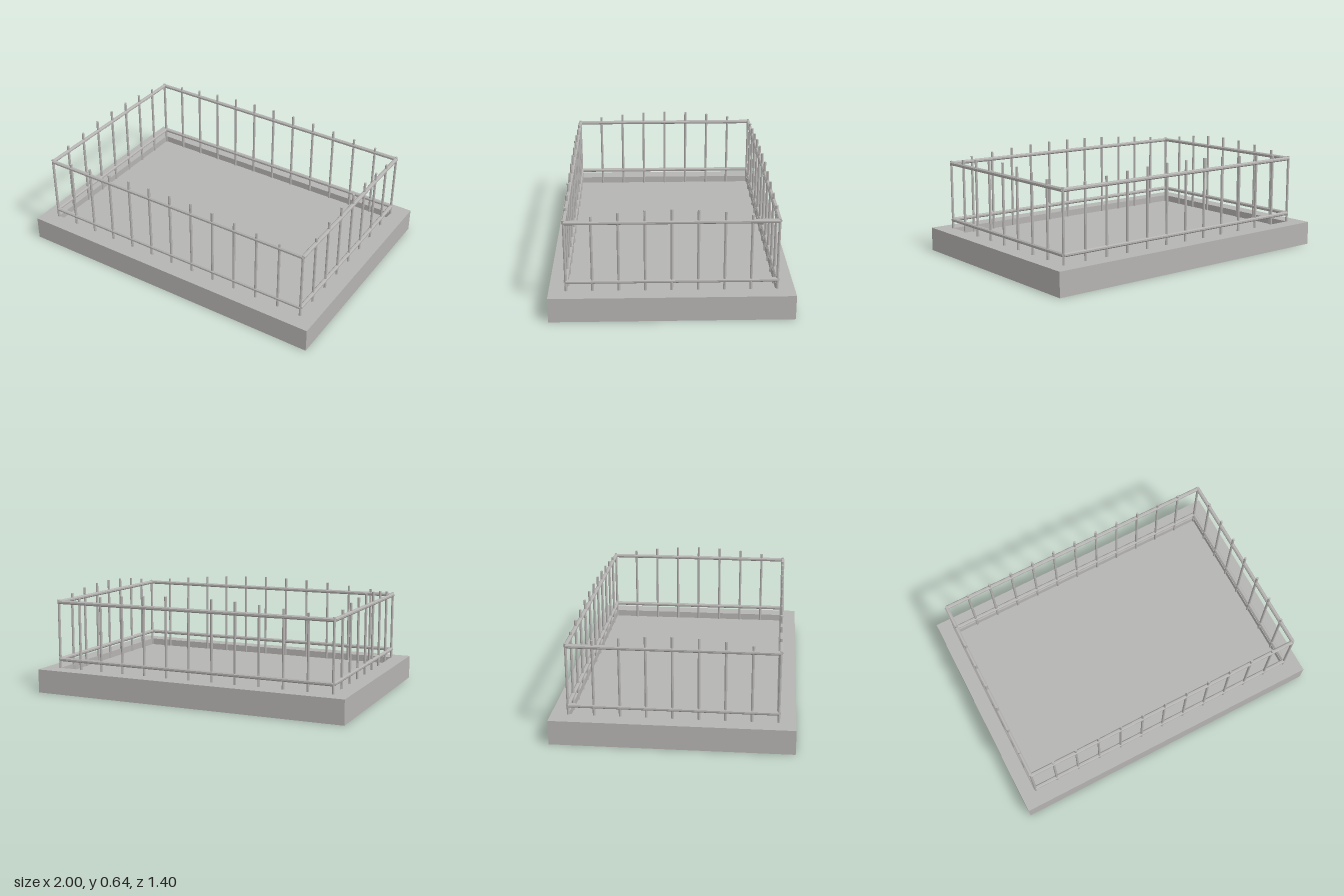
import * as THREE from 'three';

const HALF_X = 0.9, HALF_Z = 0.6;   // fence line and inner edge of the kerb
const KERB_H = 0.147, KERB_W = 0.1;
const FLOOR_Y = 0.105, POST_FOOT = 0.08;

// Box without its underside, standing on y = 0
function openBox(w, h, d) {
  const box = new THREE.BoxGeometry(w, h, d).translate(0, h / 2, 0);
  const index = Array.from(box.index.array);
  index.splice(18, 6);              // the -y face
  box.setIndex(index);
  box.clearGroups();
  return box;
}

export function createModel() {
  const model = new THREE.Group();
  model.name = 'fencedPlot';

  const stone = new THREE.MeshStandardMaterial({ color: 0xb5b4b2, side: THREE.DoubleSide });
  stone.name = 'grey stone';
  stone.flatShading = true;

  const add = (parent, name, geometry, x, y, z) => {
    const mesh = new THREE.Mesh(geometry, stone);
    mesh.name = name;
    mesh.position.set(x, y, z);
    parent.add(mesh);
    return mesh;
  };

  // Hollow kerb around a sunken floor
  const base = new THREE.Group();
  base.name = 'base';
  model.add(base);
  const longKerb = openBox(2, KERB_H, KERB_W);
  const shortKerb = openBox(KERB_W, KERB_H, HALF_Z * 2);
  for (const s of [-1, 1]) {
    add(base, s > 0 ? 'frontKerb' : 'backKerb', longKerb, 0, 0, s * (HALF_Z + KERB_W / 2));
    add(base, s > 0 ? 'leftKerb' : 'rightKerb', shortKerb, s * (HALF_X + KERB_W / 2), 0, 0);
  }
  const floor = new THREE.PlaneGeometry(HALF_X * 2, HALF_Z * 2).rotateX(-Math.PI / 2);
  add(base, 'floor', floor, 0, FLOOR_Y, 0);

  // Fence rails
  const fence = new THREE.Group();
  fence.name = 'fence';
  model.add(fence);
  const longRail = new THREE.CylinderGeometry(0.0125, 0.0125, HALF_X * 2, 8)
    .rotateY(Math.PI / 8).rotateZ(Math.PI / 2);
  const shortRail = new THREE.CylinderGeometry(0.0125, 0.0125, HALF_Z * 2, 8)
    .rotateY(Math.PI / 8).rotateX(Math.PI / 2);
  for (const [name, y] of [['lowerRail', 0.203], ['upperRail', 0.565]]) {
    for (const s of [-1, 1]) {
      add(fence, name, longRail, 0, y, s * HALF_Z);
      add(fence, name, shortRail, s * HALF_X, y, 0);
    }
  }

  // Posts rise in a gentle arc towards the middle of each side
  const addPost = (x, z, t) => {
    const top = 0.58 + 0.061 * Math.cos(t * Math.PI / 2);
    const h = top - POST_FOOT;
    add(fence, 'post', new THREE.CylinderGeometry(0.008, 0.008, h, 8), x, POST_FOOT + h / 2, z);
  };
  for (const s of [-1, 1]) {
    for (let i = -6; i <= 6; i++) addPost(i * 0.15, s * HALF_Z, i / 6);
    for (let i = -3; i <= 3; i++) addPost(s * HALF_X, i * 0.15, i / 4);
  }
  return model;
}
